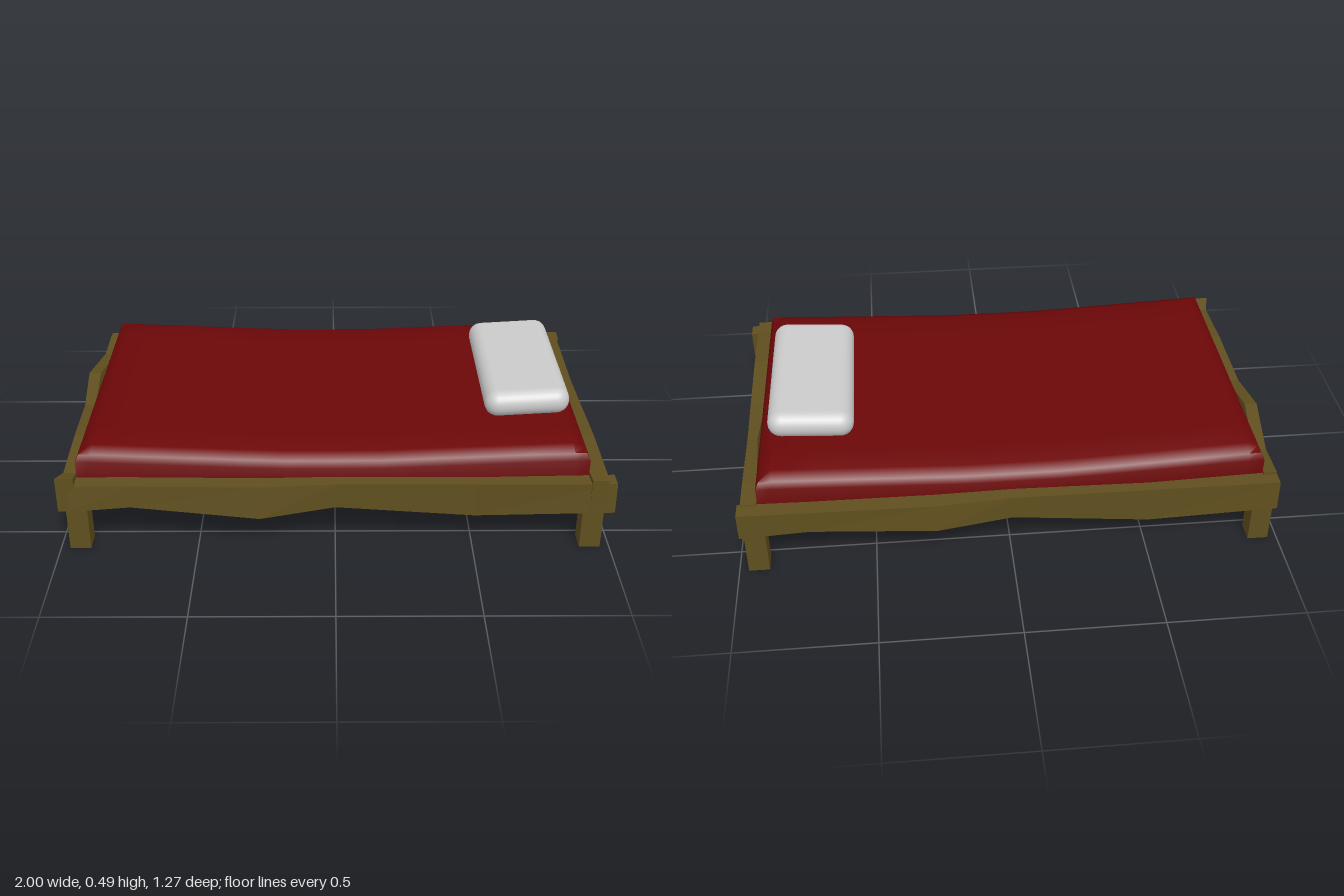
import * as THREE from 'three';
import { toCreasedNormals } from 'three/addons/utils/BufferGeometryUtils.js';
import { RoundedBoxGeometry } from 'three/addons/geometries/RoundedBoxGeometry.js';

const wood = new THREE.MeshStandardMaterial({ color: 0x5f4e1e, flatShading: true });
const red = new THREE.MeshStandardMaterial({ color: 0x6c0708 });
const grey = new THREE.MeshStandardMaterial({ color: 0xcccccc });

// Rough-hewn plank along x, outer face towards +z.
// Each station: [x, bottom y, top y, outer z, inner z, outward lean of the bottom edge]
function plankGeometry(stations) {
  const rings = stations.map(([x, y0, y1, out, inn, lean]) => [
    [x, y0, out + lean], [x, y1, out], [x, y1, inn], [x, y0, inn + lean],
  ]);
  const pos = [];
  const quad = (a, b, c, d) => pos.push(...a, ...b, ...c, ...a, ...c, ...d);
  for (let i = 0; i < rings.length - 1; i++) {
    const a = rings[i], b = rings[i + 1];
    for (let j = 0; j < 4; j++) {
      const k = (j + 1) % 4;
      quad(a[j], b[j], b[k], a[k]);
    }
  }
  const first = rings[0], last = rings[rings.length - 1];
  quad(first[0], first[1], first[2], first[3]);
  quad(last[3], last[2], last[1], last[0]);
  const geo = new THREE.BufferGeometry();
  geo.setAttribute('position', new THREE.Float32BufferAttribute(pos, 3));
  geo.computeVertexNormals();
  return geo;
}

// Box with a rounded-over top edge and a top that sags along its length
function mattressGeometry() {
  const halfL = 0.917, halfW = 0.555, nx = 6, nz = 5;
  const geo = new THREE.BoxGeometry(halfL * 2, 1, halfW * 2, nx * 2, 2, nz * 2);
  const p = geo.attributes.position;
  const heights = [0.245, 0.338, 0.381];
  // outermost column stays at the edge, the others spread evenly inside the bevel
  const spread = (v, half, n, inset) => {
    const k = Math.round((v / half) * n);
    return Math.abs(k) === n ? Math.sign(k) * (half - inset) : (half - 0.055) * k / (n - 1);
  };
  for (let i = 0; i < p.count; i++) {
    const row = Math.round((p.getY(i) + 0.5) * 2);
    const inset = row === 2 ? 0.012 : 0;
    const edge = Math.abs(p.getX(i)) > halfL - 0.01 || Math.abs(p.getZ(i)) > halfW - 0.01;
    const x = spread(p.getX(i), halfL, nx, inset);
    const z = spread(p.getZ(i), halfW, nz, inset);
    const sag = row > 0 ? 0.03 * Math.max(0, Math.min(1, (0.88 - Math.abs(x + 0.03)) / 0.7)) : 0;
    p.setXYZ(i, x, heights[row] - sag - (row === 2 && edge ? 0.018 : 0), z);
  }
  return toCreasedNormals(geo, 0.8);
}

export function createModel() {
  const bed = new THREE.Group();
  bed.name = 'bed';
  const add = (name, geo, mat, x = 0, y = 0, z = 0) => {
    const mesh = new THREE.Mesh(geo, mat);
    mesh.name = name;
    mesh.position.set(x, y, z);
    bed.add(mesh);
    return mesh;
  };

  // Long rails
  add('frontRail', plankGeometry([
    [-0.95, 0.175, 0.275, 0.618, 0.556, 0.01],
    [-0.73, 0.19, 0.275, 0.618, 0.556, 0.005],
    [-0.27, 0.145, 0.272, 0.622, 0.56, 0.01],
    [0.0, 0.18, 0.277, 0.61, 0.56, 0.0],
    [0.5, 0.14, 0.272, 0.605, 0.557, 0.0],
    [1.0, 0.163, 0.28, 0.618, 0.555, 0.006],
  ]), wood);
  add('backRail', plankGeometry([
    [-0.98, 0.175, 0.28, 0.623, 0.56, 0.0],
    [-0.73, 0.19, 0.275, 0.622, 0.56, 0.003],
    [-0.27, 0.165, 0.272, 0.625, 0.56, 0.01],
    [0.0, 0.185, 0.277, 0.61, 0.56, 0.0],
    [0.5, 0.13, 0.272, 0.607, 0.565, 0.0],
    [0.975, 0.163, 0.28, 0.62, 0.557, 0.006],
  ]), wood).rotation.y = Math.PI;

  // Short rails, each running past a long rail at one end
  add('leftRail', plankGeometry([
    [-0.62, 0.17, 0.296, 0.97, 0.91, 0.0],
    [-0.55, 0.185, 0.295, 0.97, 0.908, 0.0],
    [-0.31, 0.165, 0.3, 0.97, 0.908, 0.0],
    [-0.03, 0.205, 0.285, 0.97, 0.912, 0.0],
    [0.18, 0.17, 0.28, 0.968, 0.93, -0.012],
    [0.45, 0.203, 0.288, 0.968, 0.915, 0.0],
    [0.57, 0.185, 0.285, 0.968, 0.91, 0.0],
  ].map(([u, ...rest]) => [-u, ...rest]).reverse()), wood).rotation.y = Math.PI / 2;
  add('rightRail', plankGeometry([
    [-0.57, 0.19, 0.29, 0.973, 0.925, 0.0],
    [-0.42, 0.185, 0.278, 0.975, 0.927, 0.0],
    [-0.18, 0.19, 0.312, 1.0, 0.953, -0.025],
    [0.03, 0.187, 0.278, 0.985, 0.943, -0.012],
    [0.31, 0.185, 0.308, 0.972, 0.927, 0.0],
    [0.55, 0.185, 0.29, 0.972, 0.927, 0.0],
    [0.62, 0.172, 0.308, 0.99, 0.925, 0.0],
  ]), wood).rotation.y = -Math.PI / 2;
  bed.getObjectByName('leftRail').scale.x = -1;

  // Legs
  const leg = new THREE.BoxGeometry(0.076, 0.25, 0.076);
  for (const sx of [1, -1]) {
    for (const sz of [1, -1]) {
      add(`${sz > 0 ? 'front' : 'back'}${sx > 0 ? 'Left' : 'Right'}Leg`, leg, wood, sx * 0.928, 0.125, sz * 0.566);
    }
  }

  // Mattress and pillow
  add('mattress', mattressGeometry(), red, -0.008, 0, 0);
  const pillow = add('pillow', new RoundedBoxGeometry(0.315, 0.102, 0.67, 3, 0.05), grey, 0.713, 0.43, -0.01);
  pillow.rotation.z = 0.06;

  return bed;
}
